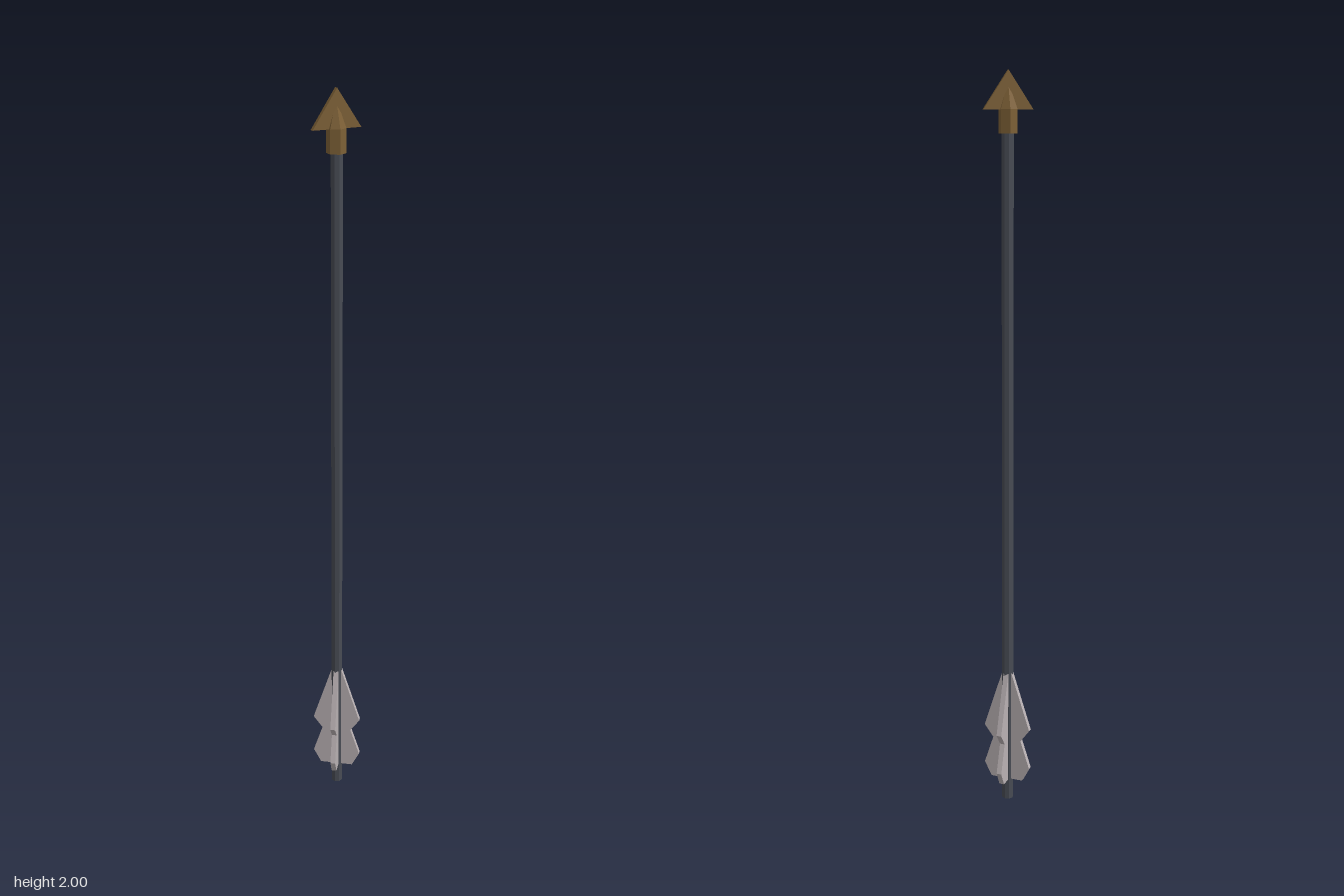
import * as THREE from 'three';

const paint = (name, color) => Object.assign(new THREE.MeshStandardMaterial({ color, flatShading: true }), { name });

// flat plate from an outline, centred on its thickness
function plate(points, depth) {
  const shape = new THREE.Shape(points.map(([x, y]) => new THREE.Vector2(x, y)));
  return new THREE.ExtrudeGeometry(shape, { depth, bevelEnabled: false }).translate(0, 0, -depth / 2);
}

export function createModel() {
  const arrow = new THREE.Group();
  arrow.name = 'arrow';
  const darkShaft = paint('darkShaft', 0x484c54);
  const bronze = paint('bronze', 0x7d6036);
  const paleFeather = paint('paleFeather', 0xb9b1b3);

  const add = (name, geometry, material, parent = arrow) => {
    const mesh = new THREE.Mesh(geometry, material);
    mesh.name = name;
    parent.add(mesh);
    return mesh;
  };

  // shaft
  add('shaft', new THREE.CylinderGeometry(0.016, 0.016, 1.86, 8).translate(0, 0.93, 0), darkShaft);

  // head: six-sided socket with a pointed core, and a flat barbed blade
  const head = new THREE.Group();
  head.name = 'head';
  head.position.z = -0.004;
  arrow.add(head);
  add('socket', new THREE.CylinderGeometry(0.025, 0.025, 0.06, 6, 1).translate(0, 1.874, 0), bronze, head);
  add('point', new THREE.ConeGeometry(0.025, 0.07, 6, 1, true).translate(0, 1.939, 0), bronze, head);
  add('blade', plate([[-0.065, 1.903], [0.065, 1.903], [0, 2]], 0.012), bronze, head);

  // four notched feathers around the shaft
  const outline = [[0.005, 0.06], [0.046, 0.06], [0.067, 0.1], [0.041, 0.18], [0.067, 0.215], [0.014, 0.38], [0.005, 0.38]];
  const featherGeometry = plate(outline, 0.014);
  for (let i = 0; i < 4; i++) {
    const feather = add('feather' + (i + 1), featherGeometry, paleFeather);
    feather.rotation.y = THREE.MathUtils.degToRad(55 + i * 90);
  }
  return arrow;
}
